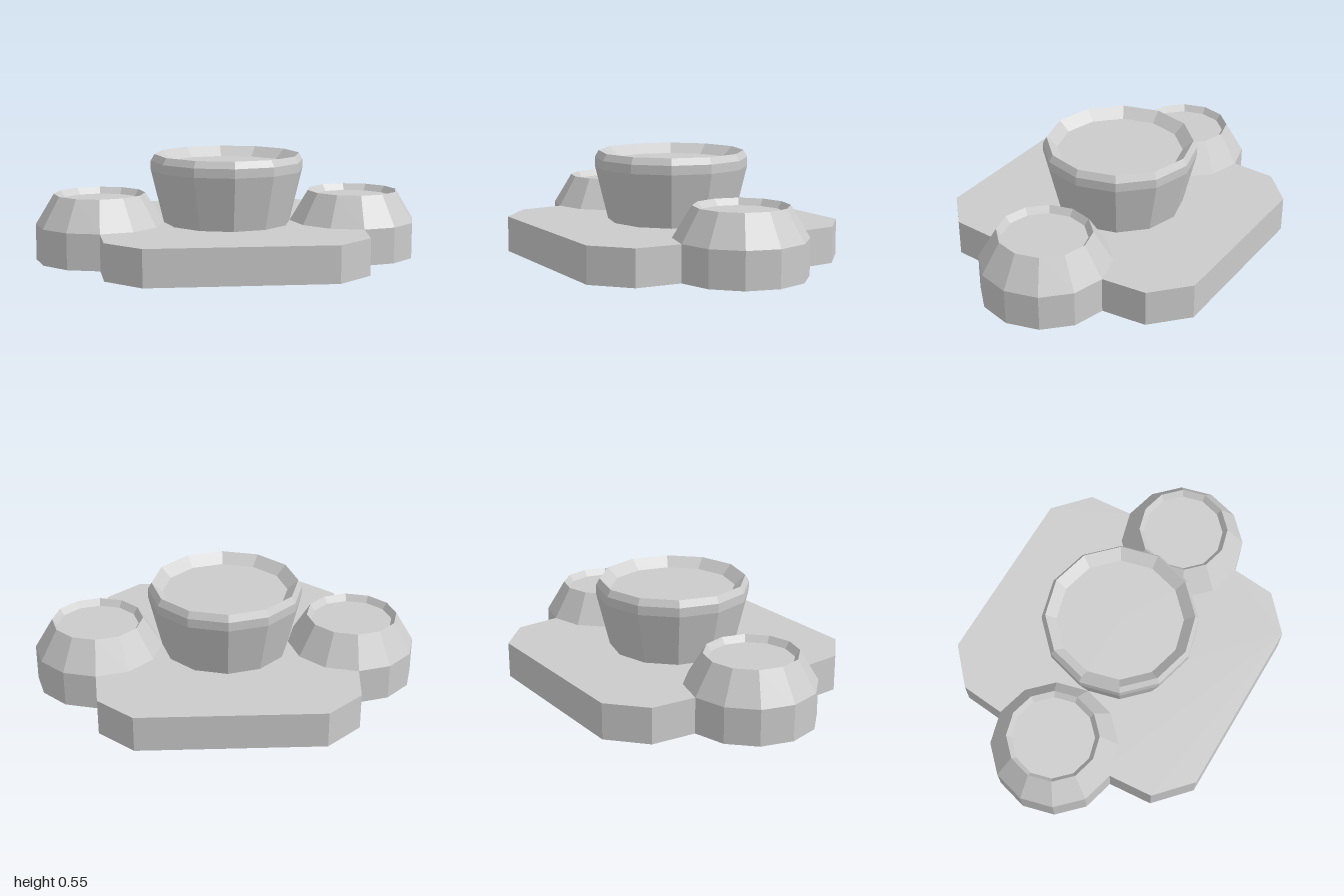
import * as THREE from 'three';

const SIDES = 12;
const BASE_H = 0.187;
const POD_X = 0.667;
const POD_R = 0.333;

const material = new THREE.MeshStandardMaterial({ color: 0xcccccc, flatShading: true });

function addMesh(parent, geometry, name) {
  const mesh = new THREE.Mesh(geometry, material);
  mesh.name = name;
  parent.add(mesh);
  return mesh;
}

// Twelve-sided turned part from [radius, height] pairs, listed bottom to top
function turned(profile) {
  return new THREE.LatheGeometry(profile.map(([r, y]) => new THREE.Vector2(r, y)), SIDES);
}

// Half of the base outline: chamfered slab corners and the round lobe under a side pod
function halfOutline() {
  const lobe = [];
  for (let i = -3; i <= 3; i++) {
    const a = (i * Math.PI * 2) / SIDES;
    lobe.push([POD_X + POD_R * Math.cos(a), POD_R * Math.sin(a)]);
  }
  return [[0.47, -0.73], [0.648, -0.567], ...lobe, [0.648, 0.567], [0.47, 0.73]];
}

export function createModel() {
  const model = new THREE.Group();
  model.name = 'knobPanel';

  // Flat base with a lobe on each side
  const half = halfOutline();
  const outline = [...half, ...half.map(([x, y]) => [-x, -y])];
  const shape = new THREE.Shape(outline.map(([x, y]) => new THREE.Vector2(x, y)));
  const base = new THREE.ExtrudeGeometry(shape, { depth: BASE_H, bevelEnabled: false });
  base.rotateX(-Math.PI / 2);
  addMesh(model, base, 'base');

  // Large flared centre knob with a chamfered rim and a shallow dished top
  addMesh(model, turned([
    [0.333, BASE_H], [0.4, 0.465], [0.4, 0.512], [0.38, 0.547], [0.325, 0.495], [0, 0.495],
  ]), 'centreKnob');

  // Tapered side pods with recessed tops
  for (const side of [-1, 1]) {
    const pod = addMesh(model, turned([
      [POD_R, BASE_H], [0.237, 0.346], [0.213, 0.312], [0, 0.312],
    ]), side > 0 ? 'leftPod' : 'rightPod');
    pod.position.x = side * POD_X;
  }

  return model;
}
